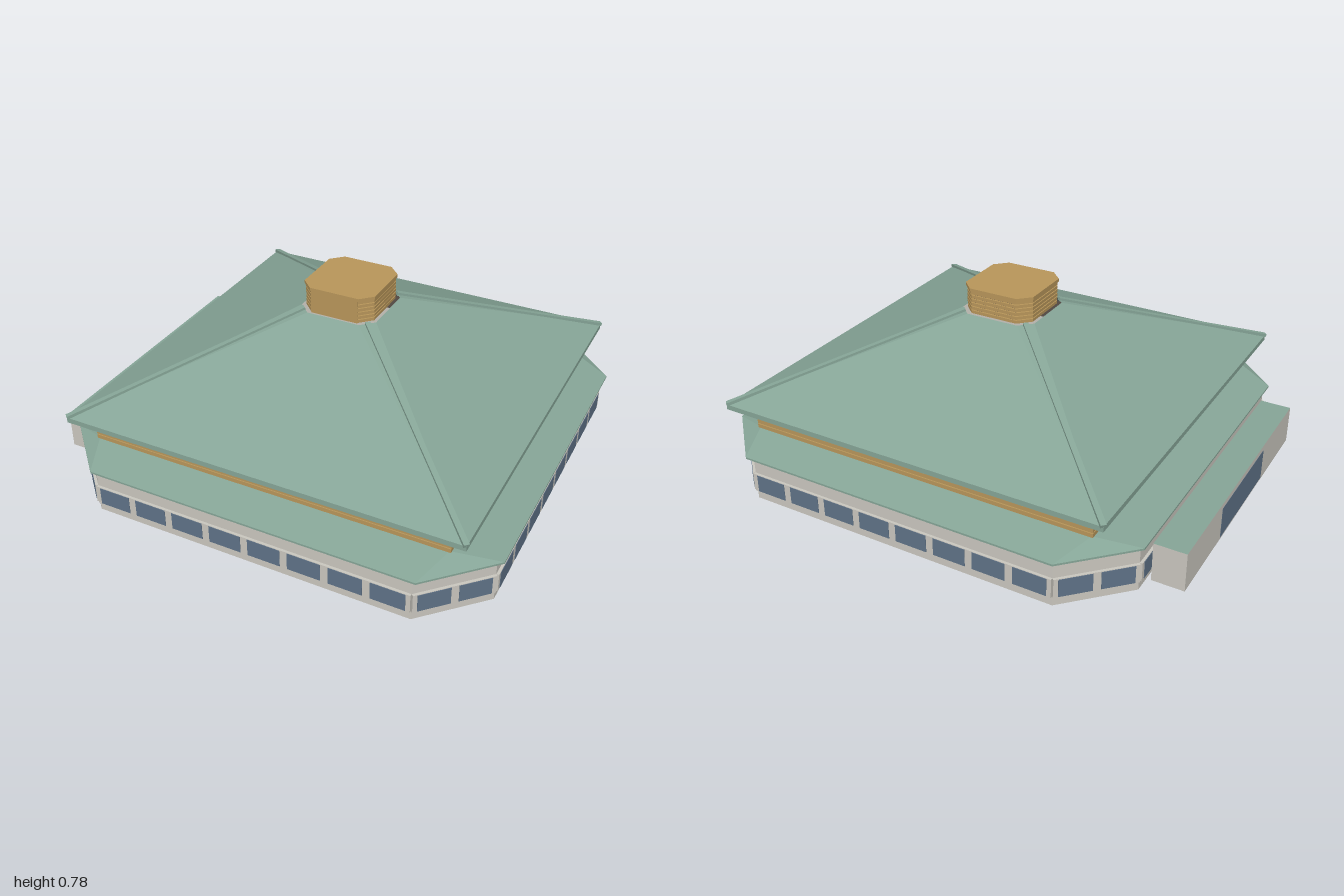
import * as THREE from 'three';

const mat = (name, color) => {
  const m = new THREE.MeshStandardMaterial({ color, side: THREE.DoubleSide });
  m.name = name;
  return m;
};

// Eight points of a rectangle with chamfered corners (chamfer 0 = plain rectangle)
function ring(y, hx, hz, c = 0, cx = 0.06, cz = 0) {
  const fx = hx - c, fz = hz - c;
  return [[hx, -fz], [hx, fz], [fx, hz], [-fx, hz], [-hx, fz], [-hx, -fz], [-fx, -hz], [fx, -hz]]
    .map(([x, z]) => new THREE.Vector3(cx + x, y, cz + z));
}

// Flat-faced skin through a stack of rings
function loft(rings) {
  const pos = [], t = new THREE.Triangle();
  const tri = (a, b, c) => {
    if (t.set(a, b, c).getArea() > 1e-8) for (const p of [a, b, c]) pos.push(p.x, p.y, p.z);
  };
  for (let r = 0; r + 1 < rings.length; r++) {
    const lo = rings[r], hi = rings[r + 1];
    for (let i = 0; i < 8; i++) {
      const j = (i + 1) % 8;
      tri(lo[i], hi[i], lo[j]);
      tri(lo[j], hi[i], hi[j]);
    }
  }
  const g = new THREE.BufferGeometry();
  g.setAttribute('position', new THREE.Float32BufferAttribute(pos, 3));
  g.computeVertexNormals();
  return g;
}

export function createModel() {
  const model = new THREE.Group();
  model.name = 'pavilion';
  const green = mat('green roof', 0x86a597);
  const cream = mat('cream wall', 0xcac7bf);
  const blue = mat('window blue', 0x5f7287);
  const tan = mat('tan siding', 0xb8965a);
  const brown = mat('dark brown lining', 0x5c524b);
  const dark = mat('charcoal soffit', 0x383a38);

  const add = (name, geo, material, parent = model) => {
    const m = new THREE.Mesh(geo, material);
    m.name = name;
    parent.add(m);
    return m;
  };
  const box = (name, w, h, d, x, y, z, material, parent) => {
    const m = add(name, new THREE.BoxGeometry(w, h, d), material, parent);
    m.position.set(x, y, z);
    return m;
  };

  // Ground floor walls, open below
  const base = ring(0, 0.91, 0.9, 0.23);
  add('groundFloorWall', loft([base, ring(0.197, 0.91, 0.9, 0.23)]), cream);

  // Window strip on each of the eight sides
  for (let i = 0; i < 8; i++) {
    const a = base[i], b = base[(i + 1) % 8];
    const len = a.distanceTo(b), n = len > 1 ? 8 : 2;
    const strip = new THREE.Group();
    strip.name = 'windowStrip';
    strip.position.copy(a).add(b).multiplyScalar(0.5).setY(0.081);
    strip.rotation.y = Math.atan2(b.z - a.z, a.x - b.x) + Math.PI;
    // turn the strip so that its +z looks away from the building
    const out = new THREE.Vector3(b.z - a.z, 0, a.x - b.x);
    strip.rotation.y = Math.atan2(out.x, out.z);
    box('windowFrame', len, 0.08, 0.012, 0, 0, 0.005, cream, strip);
    const pitch = (len - 0.005) / n;
    for (let k = 0; k < n; k++) {
      box('window', pitch - 0.031, 0.075, 0.004, (k - (n - 1) / 2) * pitch, 0, 0.011, blue, strip);
    }
    model.add(strip);
  }

  // Lower skirt roof
  add('lowerRoof', loft([
    ring(0.192, 0.935, 0.923, 0.24, 0.065),
    ring(0.2, 0.935, 0.923, 0.24, 0.065),
    ring(0.24, 0.76, 0.76),
  ]), green);

  // Rows of boards around a dark lining
  const boards = (name, y0, y1, count, hx, hz, c, cx, cz) => {
    add(name + 'Lining', loft([y0, y1].map(y => ring(y, hx - 0.008, hz - 0.008, c, cx, cz))), brown);
    const p = (y1 - y0) / count;
    for (let i = 0; i < count; i++) {
      const lo = y0 + i * p + 0.002, hi = lo + p - 0.004;
      add(name + 'Board', loft([[lo, 0.007], [lo, 0], [hi, 0], [hi, 0.007]]
        .map(([y, d]) => ring(y, hx - d, hz - d, c, cx, cz))), tan);
    }
  };
  boards('upperWall', 0.237, 0.342, 5, 0.767, 0.767, 0, 0.06, 0);

  // Main hipped roof with an opening at the top
  const rx = 0.063, tx = 0.047, tz = -0.02;
  const eave = ring(0.362, 0.845, 0.845, 0, rx);
  const top = ring(0.672, 0.168, 0.168, 0.052, tx, tz);
  add('mainRoof', loft([ring(0.34, 0.845, 0.845, 0, rx), eave, top]), green);
  add('roofSoffit', loft([ring(0.341, 0.76, 0.76), ring(0.341, 0.844, 0.844, 0, rx)]), dark);

  // Hip ridges
  for (const i of [1, 3, 5, 7]) {
    const a = eave[i], b = top[i].clone().add(top[(i + 1) % 8]).multiplyScalar(0.5);
    const ridge = add('hipRidge', new THREE.BoxGeometry(0.022, 0.014, a.distanceTo(b)), green);
    ridge.position.copy(a).add(b).multiplyScalar(0.5);
    ridge.position.y += 0.003;
    ridge.lookAt(b.x, b.y + 0.003, b.z);
  }

  // Cupola with a flat cap and a plain front panel
  boards('cupola', 0.67, 0.77, 6, 0.154, 0.154, 0.05, tx, tz);
  add('cupolaCap', loft([
    ring(0.769, 0, 0, 0, tx, tz),
    ring(0.769, 0.158, 0.158, 0.05, tx, tz),
    ring(0.782, 0.158, 0.158, 0.05, tx, tz),
    ring(0.782, 0, 0, 0, tx, tz),
  ]), tan);
  box('cupolaFrontPanel', 0.208, 0.1, 0.004, tx, 0.72, tz + 0.154, tan);

  // Side annex, open below, with a green flat roof and a wide door
  const annex = y => ring(y, 0.066, 0.598, 0, -0.934, 0);
  add('annexWall', loft([annex(0), annex(0.165)]), cream);
  add('annexRoof', loft([annex(0.165), ring(0.165, 0, 0, 0, -0.934, 0)]), green);
  box('annexDoor', 0.004, 0.135, 0.48, -0.999, 0.075, 0, blue);

  return model;
}
